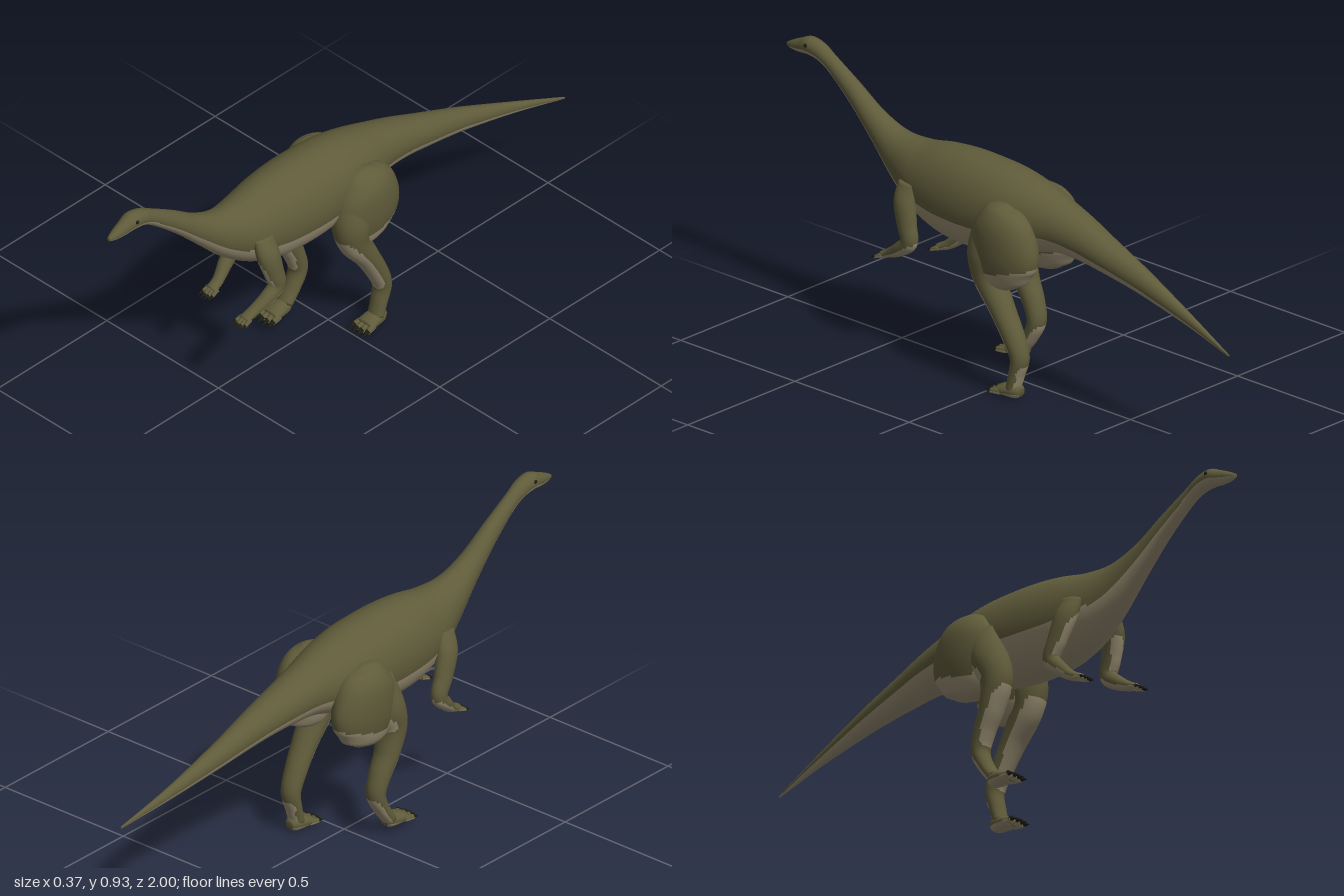
import * as THREE from 'three';

const mat = (name, color) => {
  const m = new THREE.MeshStandardMaterial({ color });
  m.name = name;
  return m;
};

// Smooth tube through stations [x, y, z, half width, half depth], closed at both ends.
// Faces that look downward get the second material (pale underside).
function loft(stations, { along = 40, around = 28, upright = false } = {}) {
  const path = new THREE.CatmullRomCurve3(
    stations.map(s => new THREE.Vector3(s[0], s[1], s[2])), false, 'catmullrom');
  const sizes = new THREE.CatmullRomCurve3(
    stations.map(s => new THREE.Vector3(s[3], s[4], 0)), false, 'catmullrom');
  const pos = [], rows = along + 3;
  for (let r = 0; r < rows; r++) {
    const t = THREE.MathUtils.clamp((r - 1) / along, 0, 1);
    const c = path.getPoint(t), s = sizes.getPoint(t), d = path.getTangent(t);
    const k = r === 0 || r === rows - 1 ? 0.02 : 1;
    const len = Math.hypot(d.y, d.z) || 1;
    const ny = upright ? -1 : d.z / len, nz = upright ? 0 : -d.y / len;
    for (let j = 0; j < around; j++) {
      const a = (j / around) * Math.PI * 2;
      const u = Math.cos(a) * s.x * k, v = Math.sin(a) * s.y * k;
      pos.push(c.x + u, c.y + ny * v, c.z + nz * v);
    }
  }
  const upper = [], under = [];
  const at = i => new THREE.Vector3().fromArray(pos, i * 3);
  for (let r = 0; r < rows - 1; r++) {
    for (let j = 0; j < around; j++) {
      const a = r * around + j, b = r * around + (j + 1) % around;
      const c = a + around, d = b + around;
      const n = at(d).sub(at(a)).cross(at(c).sub(at(b))).normalize();
      (n.y < -0.25 ? under : upper).push(a, b, c, b, d, c);
    }
  }
  const g = new THREE.BufferGeometry();
  g.setAttribute('position', new THREE.Float32BufferAttribute(pos, 3));
  g.setIndex([...upper, ...under]);
  g.addGroup(0, upper.length, 0);
  g.addGroup(upper.length, under.length, 1);
  g.computeVertexNormals();
  return g;
}

export function createModel() {
  const olive = mat('olive hide', 0x5f5b3a);
  const pale = mat('pale underside', 0x9a8f74);
  const dark = mat('dark claw', 0x1f1e13);
  const skin = [olive, pale];
  const model = new THREE.Group();
  model.name = 'dinosaur';

  const add = (parent, name, geometry, material) => {
    const m = new THREE.Mesh(geometry, material);
    m.name = name;
    parent.add(m);
    return m;
  };

  // Head, neck, trunk and tail: [z, top, bottom, half width, centre x]
  const profile = [
    [1.0, 0.885, 0.872, 0.007, 0], [0.975, 0.899, 0.866, 0.016, 0],
    [0.94, 0.915, 0.865, 0.023, 0], [0.9, 0.93, 0.868, 0.030, 0],
    [0.85, 0.92, 0.858, 0.028, 0], [0.8, 0.892, 0.826, 0.025, 0],
    [0.7, 0.83, 0.74, 0.032, 0], [0.6, 0.762, 0.64, 0.044, 0],
    [0.5, 0.72, 0.54, 0.066, 0], [0.4, 0.715, 0.47, 0.098, 0],
    [0.3, 0.732, 0.43, 0.117, 0], [0.2, 0.74, 0.418, 0.127, 0],
    [0.1, 0.738, 0.42, 0.13, 0], [0, 0.73, 0.438, 0.125, 0],
    [-0.1, 0.71, 0.47, 0.108, 0], [-0.2, 0.68, 0.498, 0.085, 0],
    [-0.3, 0.648, 0.5, 0.07, 0.003], [-0.4, 0.613, 0.49, 0.057, 0.01],
    [-0.5, 0.577, 0.475, 0.045, 0.015], [-0.6, 0.54, 0.457, 0.034, 0.021],
    [-0.8, 0.463, 0.42, 0.016, 0.042], [-1.0, 0.389, 0.382, 0.003, 0.073],
  ];
  add(model, 'body', loft(
    profile.map(([z, top, bottom, w, x]) => [x, (top + bottom) / 2, z, w, (top - bottom) / 2]),
    { along: 168, around: 64, upright: true }), skin);

  // Eyes
  for (const side of [1, -1]) {
    const eye = add(model, side > 0 ? 'leftEye' : 'rightEye', new THREE.SphereGeometry(0.007, 16, 12), dark);
    eye.scale.x = 0.6;
    eye.position.set(side * 0.0285, 0.907, 0.897);
  }

  // A row of short digits with claws, pointing forward and a little down
  const digits = (parent, name, { x, y, z, spread, length, radius, claw, drop }) => {
    for (let i = 0; i < 4; i++) {
      const k = (i - 1.5) / 1.5;
      const dx = x + k * spread, reach = length * (1 - 0.25 * Math.abs(k));
      const tipX = dx + k * spread * 0.2, tipY = y - drop * reach, tipZ = z + reach;
      add(parent, name, loft([
        [dx, y, z - length * 0.4, radius * 0.8, radius * 0.8],
        [dx, y, z, radius, radius],
        [tipX, tipY, tipZ, radius * 0.75, radius * 0.75],
      ], { along: 8, around: 10 }), skin);
      const cone = new THREE.ConeGeometry(radius * 0.85, claw, 8);
      cone.rotateX(Math.PI / 2 + 0.3);
      add(parent, name + 'Claw', cone, dark)
        .position.set(tipX, tipY - claw * 0.05, tipZ + claw * 0.35);
    }
  };

  // Hind legs: [y, z of left leg, z of right leg, half width, half depth, x]
  const legRows = [
    [0.56, -0.005, 0.02, 0.05, 0.07, 0.115], [0.47, 0.015, 0.06, 0.062, 0.068, 0.118],
    [0.39, 0.005, 0.09, 0.052, 0.055, 0.12], [0.3, -0.05, 0.07, 0.044, 0.041, 0.121],
    [0.21, -0.1, 0.037, 0.038, 0.036, 0.119], [0.145, -0.125, 0.02, 0.034, 0.031, 0.117],
    [0.085, -0.112, 0.045, 0.031, 0.025, 0.117], [0.035, -0.098, 0.08, 0.03, 0.022, 0.117],
  ];
  // Thigh muscle: [y, z, half width, half depth]
  const thighRows = [
    [0.655, -0.045, 0.015, 0.02], [0.632, -0.045, 0.048, 0.072], [0.58, -0.05, 0.07, 0.115],
    [0.5, -0.055, 0.072, 0.135], [0.43, -0.06, 0.061, 0.12], [0.385, -0.07, 0.042, 0.085],
    [0.367, -0.075, 0.015, 0.03],
  ];
  for (const side of [1, -1]) {
    const left = side > 0;
    const leg = new THREE.Group();
    leg.name = left ? 'leftHindLeg' : 'rightHindLeg';
    model.add(leg);
    const lift = left ? 0 : 0.018, footZ = left ? 0 : 0.193;
    add(leg, 'thigh', loft(
      thighRows.map(([y, z, w, d]) => [side * 0.113, y, z + (left ? 0 : 0.02), w, d]),
      { along: 40, around: 44 }), skin);
    add(leg, 'shin', loft(
      legRows.map(([y, zl, zr, w, d, x]) => [side * x, y + (y < 0.3 ? lift : 0), left ? zl : zr, w, d]),
      { along: 63, around: 36 }), skin);
    const fx = side * 0.117;
    add(leg, 'foot', loft([
      [fx, 0.026 + lift, footZ - 0.132, 0.016, 0.014], [fx, 0.028 + lift, footZ - 0.115, 0.027, 0.025],
      [fx, 0.025 + lift, footZ - 0.08, 0.033, 0.023], [fx, 0.019 + lift, footZ - 0.045, 0.034, 0.015],
    ], { along: 18, around: 24 }), skin);
    digits(leg, 'toe', {
      x: fx, y: 0.018 + lift, z: footZ - 0.052, spread: 0.026, length: 0.034,
      radius: 0.0115, claw: 0.028, drop: 0.12,
    });
  }

  // Arms: [x, y, z, half width, half depth], the right one held lower and further back
  const armRows = [
    [0.088, 0.6, 0.385, 0.024, 0.04], [0.108, 0.54, 0.385, 0.032, 0.042],
    [0.118, 0.465, 0.368, 0.028, 0.036], [0.12, 0.41, 0.356, 0.026, 0.03],
    [0.116, 0.372, 0.4, 0.024, 0.024], [0.106, 0.343, 0.45, 0.02, 0.017],
    [0.101, 0.326, 0.488, 0.021, 0.012],
  ];
  for (const side of [1, -1]) {
    const arm = new THREE.Group();
    arm.name = side > 0 ? 'leftArm' : 'rightArm';
    model.add(arm);
    const pose = side > 0 ? 0 : 1;
    const rows = armRows.map(([x, y, z, w, d], i) => {
      const k = pose * Math.min(1, i / 5);
      return [side * x, y - 0.02 * k, z - 0.055 * k, w, d];
    });
    add(arm, 'foreLimb', loft(rows, { along: 54, around: 28 }), skin);
    const [hx, hy, hz] = rows[rows.length - 1];
    digits(arm, 'finger', {
      x: hx, y: hy, z: hz - 0.004, spread: 0.018, length: 0.028,
      radius: 0.0075, claw: 0.024, drop: 0.4,
    });
  }
  return model;
}
